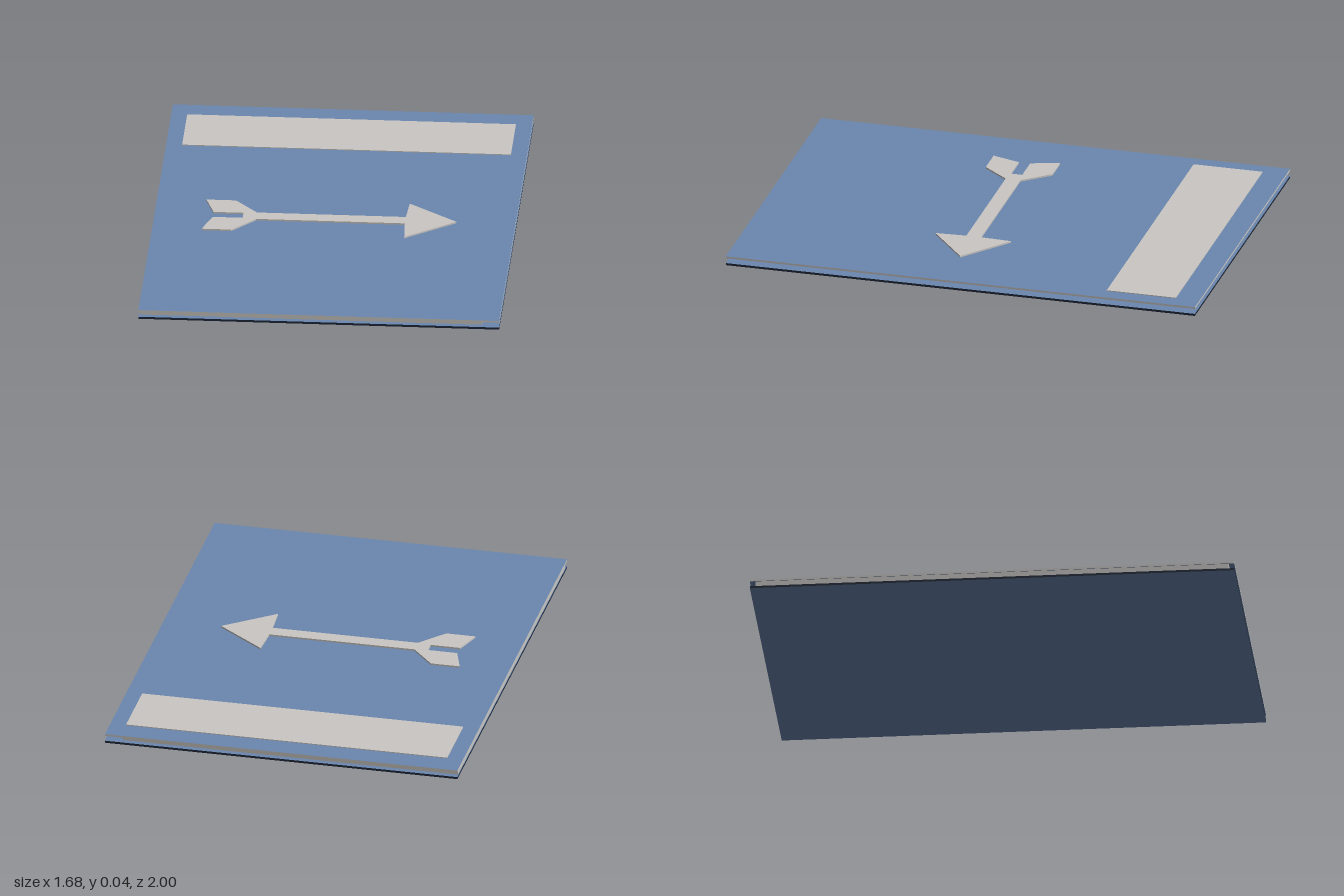
import * as THREE from 'three';

const WIDTH = 1.29, LENGTH = 1.734, TURN = Math.atan2(0.32, 1.25);

function paint(name, color) {
  const material = new THREE.MeshStandardMaterial({ color });
  material.name = name;
  return material;
}

export function createModel() {
  const book = new THREE.Group();
  book.name = 'book';
  const blue = paint('cover blue', 0x6c88b0);
  const grey = paint('paper grey', 0xcac7c3);
  const dark = paint('dark edge', 0x1f2838);

  // Flat slab spanning y0..y1, optionally with one material per side
  function slab(name, w, l, y0, y1, material, x = 0, z = 0) {
    const mesh = new THREE.Mesh(new THREE.BoxGeometry(w, y1 - y0, l), material);
    mesh.name = name;
    mesh.position.set(x, (y0 + y1) / 2, z);
    book.add(mesh);
  }

  // Covers: coloured faces with differently coloured edges
  slab('backCover', WIDTH, LENGTH, 0, 0.008, [dark, dark, blue, blue, dark, dark]);
  slab('frontCover', WIDTH, LENGTH, 0.027, 0.034, [grey, grey, blue, blue, grey, grey]);

  // Pages: flush with the spine on the left, set back on the other edges
  slab('pages', WIDTH - 0.065, LENGTH - 0.04, 0.008, 0.027, grey, -0.03);

  // Title panel
  slab('titlePanel', 1.175, 0.255, 0.034, 0.037, grey, 0, -0.653);

  // Arrow emblem: half outline from tip to tail, mirrored across the shaft
  const half = [
    [0.258, 0.14], [0.252, 0.027], [-0.28, 0.027], [-0.362, 0.123],
    [-0.468, 0.123], [-0.435, 0.021], [-0.328, 0.021],
  ];
  const outline = [[0.434, 0], ...half, ...half.map(([x, y]) => [x, -y]).reverse()];
  const shape = new THREE.Shape(outline.map(([x, y]) => new THREE.Vector2(x, y)));
  const geometry = new THREE.ExtrudeGeometry(shape, { depth: 0.006, bevelEnabled: false });
  geometry.rotateX(-Math.PI / 2);
  const arrow = new THREE.Mesh(geometry, grey);
  arrow.name = 'arrowEmblem';
  arrow.position.set(0, 0.034, 0.058);
  book.add(arrow);

  book.rotation.y = TURN;
  const model = new THREE.Group();
  model.name = 'bookModel';
  model.add(book);
  return model;
}
